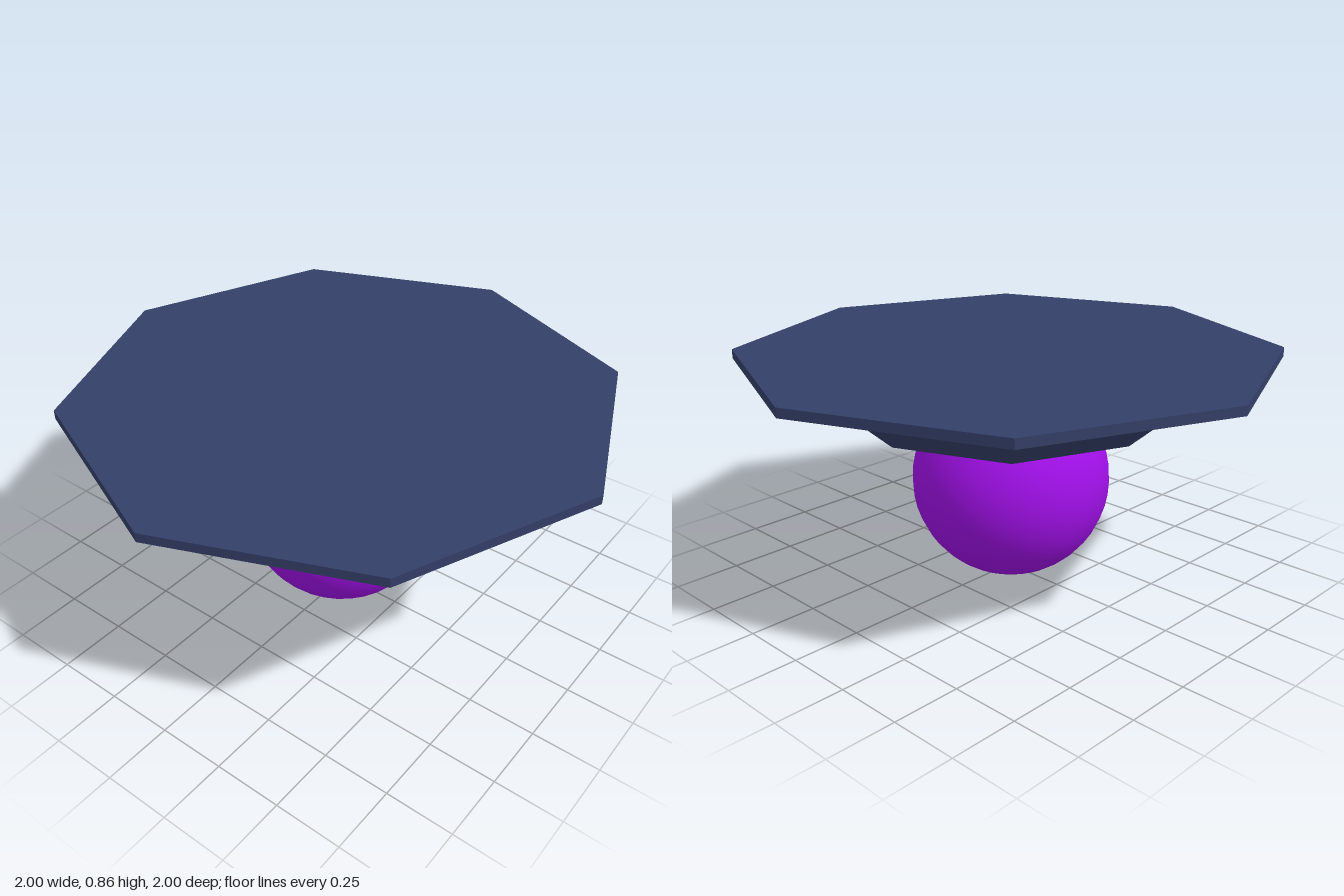
import * as THREE from 'three';

export function createModel() {
  const group = new THREE.Group();

  const add = (name, geometry, color, flatShading) => {
    const material = new THREE.MeshStandardMaterial({ color, flatShading });
    const mesh = new THREE.Mesh(geometry, material);
    mesh.name = name;
    group.add(mesh);
    return mesh;
  };

  // Faceted octagonal plate: flat base, two sloping bands, thin rim, flat top
  const profile = [
    [0, 0.627], [0.56, 0.627], [0.7, 0.745], [1, 0.832], [1, 0.866], [0, 0.866],
  ].map(([r, y]) => new THREE.Vector2(r, y));
  add('octagonalPlate', new THREE.LatheGeometry(profile, 8), 0x343f68, true);

  // Smooth ball, its top sunk into the plate
  const ball = add('ball', new THREE.SphereGeometry(0.37, 32, 24), 0xa010e8, false);
  ball.position.set(0, 0.372, -0.01);

  return group;
}
